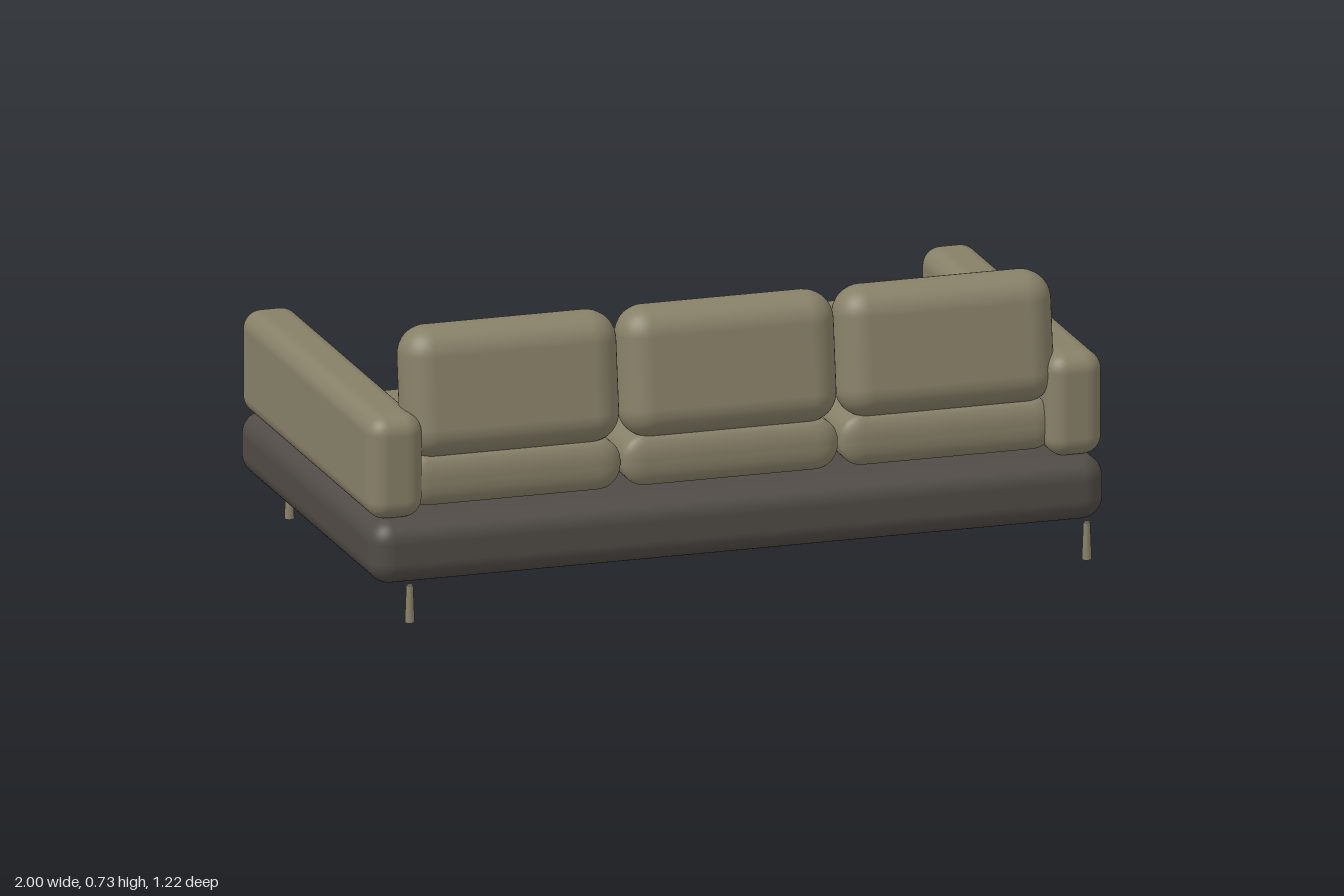
import * as THREE from 'three';
import { RoundedBoxGeometry } from 'three/addons/geometries/RoundedBoxGeometry.js';

export function createModel() {
  const group = new THREE.Group();
  const fabric = new THREE.MeshStandardMaterial({ color: 0x878068 });
  fabric.name = 'olive fabric';
  const dark = new THREE.MeshStandardMaterial({ color: 0x504b46 });
  dark.name = 'dark base';

  // Soft block given by its extents; zSoft < 1 tightens the rounding along z
  function block(name, material, [x0, x1], [y0, y1], [z0, z1], radius, zSoft = 1) {
    const geometry = new RoundedBoxGeometry(x1 - x0, y1 - y0, (z1 - z0) / zSoft, 6, radius);
    const mesh = new THREE.Mesh(geometry, material);
    mesh.name = name;
    mesh.scale.z = zSoft;
    mesh.position.set((x0 + x1) / 2, (y0 + y1) / 2, (z0 + z1) / 2);
    group.add(mesh);
    return mesh;
  }

  // Platform
  block('base', dark, [-1, 1], [0.077, 0.25], [-0.608, 0.535], 0.06);

  // Arms
  block('rightArm', fabric, [-1, -0.85], [0.248, 0.526], [-0.588, 0.515], 0.05);
  block('leftArm', fabric, [0.85, 1], [0.248, 0.526], [-0.588, 0.515], 0.05);

  // Three seats, the left one a long chaise, each with a leaning back cushion
  [-0.592, 0, 0.592].forEach((x, i) => {
    const front = i === 2 ? -0.595 : -0.178;
    const span = [x - 0.294, x + 0.294];
    block(i === 2 ? 'chaiseSeat' : 'seat', fabric, span, [0.263, 0.4], [front, 0.47], 0.062, 0.5);
    const back = block('backCushion', fabric, span, [0.388, 0.735], [0.323, 0.485], 0.078);
    back.rotation.x = -0.125;
  });

  // Slim tapered legs
  const legGeometry = new THREE.CylinderGeometry(0.009, 0.013, 0.1, 16);
  for (const x of [-0.922, 0.922]) {
    for (const z of [0.595, -0.402]) {
      const leg = new THREE.Mesh(legGeometry, fabric);
      leg.name = 'leg';
      leg.position.set(x, 0.05, z);
      group.add(leg);
    }
  }
  return group;
}
